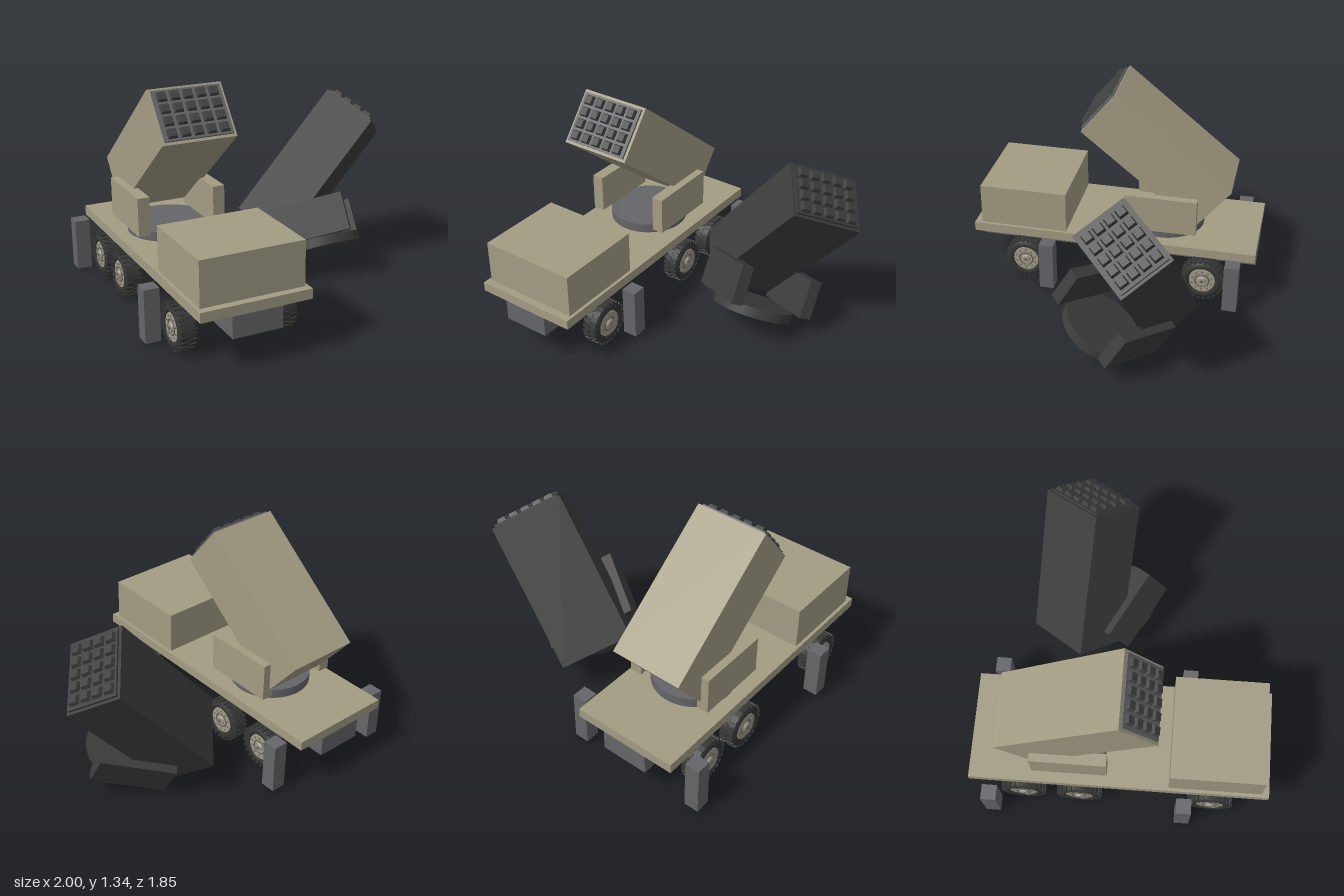
import * as THREE from 'three';
import { toCreasedNormals } from 'three/addons/utils/BufferGeometryUtils.js';

const mat = (name, color) => {
  const m = new THREE.MeshStandardMaterial({ color });
  m.name = name;
  return m;
};

export function createModel() {
  const tan = mat('sand paint', 0xa39c84);
  const grey = mat('chassis grey', 0x66666a);
  const dark = mat('dark launcher paint', 0x3d3d3d);
  const capDark = mat('tube cap', 0x444444);
  const rubber = mat('tyre rubber', 0x363636);

  const model = new THREE.Group();
  model.name = 'launcherSet';

  const add = (parent, name, geo, material, x = 0, y = 0, z = 0) => {
    const m = new THREE.Mesh(geo, material);
    m.name = name;
    m.position.set(x, y, z);
    parent.add(m);
    return m;
  };
  // Box given by its min and max on each axis
  const span = (parent, name, material, [x0, x1], [y0, y1], [z0, z1]) =>
    add(parent, name, new THREE.BoxGeometry(x1 - x0, y1 - y0, z1 - z0), material,
      (x0 + x1) / 2, (y0 + y1) / 2, (z0 + z1) / 2);

  // Tapered square tube cap, pointing along +z
  const capGeo = toCreasedNormals(
    new THREE.CylinderGeometry(0.046 * Math.SQRT1_2, 0.06 * Math.SQRT1_2, 0.024, 4)
      .rotateY(Math.PI / 4).rotateX(Math.PI / 2), 0.5);

  // Turntable, side brackets and tilted tube box; origin under the turntable
  function makeLauncher(name, body, base, panel, caps) {
    const g = new THREE.Group();
    g.name = name;
    add(g, 'turntable', toCreasedNormals(new THREE.CylinderGeometry(0.25, 0.25, 0.06, 40), 0.6), base, 0, 0.03, 0);
    for (const s of [-1, 1]) {
      add(g, 'sideBracket', new THREE.BoxGeometry(0.075, 0.24, 0.46), body, s * 0.2425, 0.18, 0);
    }
    const pod = new THREE.Group();
    pod.name = 'tubePod';
    pod.position.set(0, 0.53, 0.045);
    pod.rotation.x = THREE.MathUtils.degToRad(-38.8);
    add(pod, 'podBody', new THREE.BoxGeometry(0.46, 0.35, 0.95), body);
    add(pod, 'podFace', new THREE.BoxGeometry(0.425, 0.315, 0.014), panel, 0, 0, 0.481);
    for (let c = -2; c <= 2; c++) {
      for (let r = -1.5; r <= 1.5; r++) {
        add(pod, 'tubeCap', capGeo, caps, c * 0.08, r * 0.076, 0.499);
      }
    }
    g.add(pod);
    return g;
  }

  // Wheel parts, axle along local y with the hub facing +y
  const profile = [[0, -0.045], [0.09, -0.045], [0.105, -0.05], [0.122, -0.047], [0.133, -0.038],
    [0.135, 0], [0.133, 0.038], [0.122, 0.047], [0.105, 0.052], [0.09, 0.048], [0.085, 0.036], [0, 0.036]];
  const tyreGeo = toCreasedNormals(
    new THREE.LatheGeometry(profile.map(p => new THREE.Vector2(...p)), 40), 0.6);
  const rimGeo = toCreasedNormals(new THREE.CylinderGeometry(0.083, 0.085, 0.01, 32), 0.6);
  const ringGeo = new THREE.TorusGeometry(0.045, 0.005, 6, 28).rotateX(Math.PI / 2);
  const hubGeo = toCreasedNormals(new THREE.CylinderGeometry(0.022, 0.03, 0.014, 20), 0.6);
  const pinGeo = toCreasedNormals(new THREE.CylinderGeometry(0.01, 0.012, 0.008, 12), 0.6);
  const boltGeo = new THREE.CylinderGeometry(0.006, 0.006, 0.004, 8);
  const lugGeo = new THREE.BoxGeometry(0.012, 0.046, 0.02);

  function makeWheel() {
    const w = new THREE.Group();
    w.name = 'wheel';
    add(w, 'tyre', tyreGeo, rubber);
    add(w, 'rim', rimGeo, tan, 0, 0.039, 0);
    add(w, 'rimRing', ringGeo, grey, 0, 0.044, 0);
    add(w, 'hub', hubGeo, tan, 0, 0.048, 0);
    add(w, 'hubPin', pinGeo, grey, 0, 0.057, 0);
    for (let i = 0; i < 10; i++) {
      const a = i * Math.PI / 5;
      add(w, 'rimBolt', boltGeo, grey, 0.065 * Math.cos(a), 0.045, 0.065 * Math.sin(a));
    }
    // Two staggered rows of tread lugs
    for (let i = 0; i < 48; i++) {
      const a = i * Math.PI / 24;
      const lug = add(w, 'treadLug', lugGeo, rubber,
        0.135 * Math.cos(a), i % 2 ? 0.024 : -0.024, 0.135 * Math.sin(a));
      lug.rotation.y = -a;
    }
    return w;
  }

  // Carrier truck, centred on x = -0.54
  const truck = new THREE.Group();
  truck.name = 'carrierTruck';
  truck.position.x = -0.54;
  model.add(truck);
  span(truck, 'deck', tan, [-0.333, 0.333], [0.31, 0.37], [-0.925, 0.92]);
  span(truck, 'chassisBeam', grey, [-0.15, 0.15], [0.18, 0.31], [-0.923, 0.923]);
  span(truck, 'cab', tan, [-0.313, 0.313], [0.37, 0.64], [0.305, 0.873]);
  for (const s of [-1, 1]) {
    for (const z of [0.572, -0.248, -0.6]) {
      const wheel = makeWheel();
      wheel.position.set(s * 0.308, 0.145, z);
      wheel.rotation.z = -s * Math.PI / 2;
      truck.add(wheel);
    }
    for (const z of [0.405, -0.793]) {
      add(truck, 'stabiliserLeg', new THREE.BoxGeometry(0.093, 0.323, 0.093), grey, s * 0.4135, 0.173, z);
    }
  }
  const mounted = makeLauncher('mountedLauncher', tan, grey, grey, capDark);
  mounted.position.set(0, 0.37, -0.305);
  truck.add(mounted);

  // Separate launcher resting tilted beside the truck
  const loose = makeLauncher('detachedLauncher', dark, dark, dark, dark);
  loose.position.set(0.436, 0.126, -0.067);
  loose.rotation.set(-Math.PI / 6, THREE.MathUtils.degToRad(55), 0);
  model.add(loose);

  return model;
}
